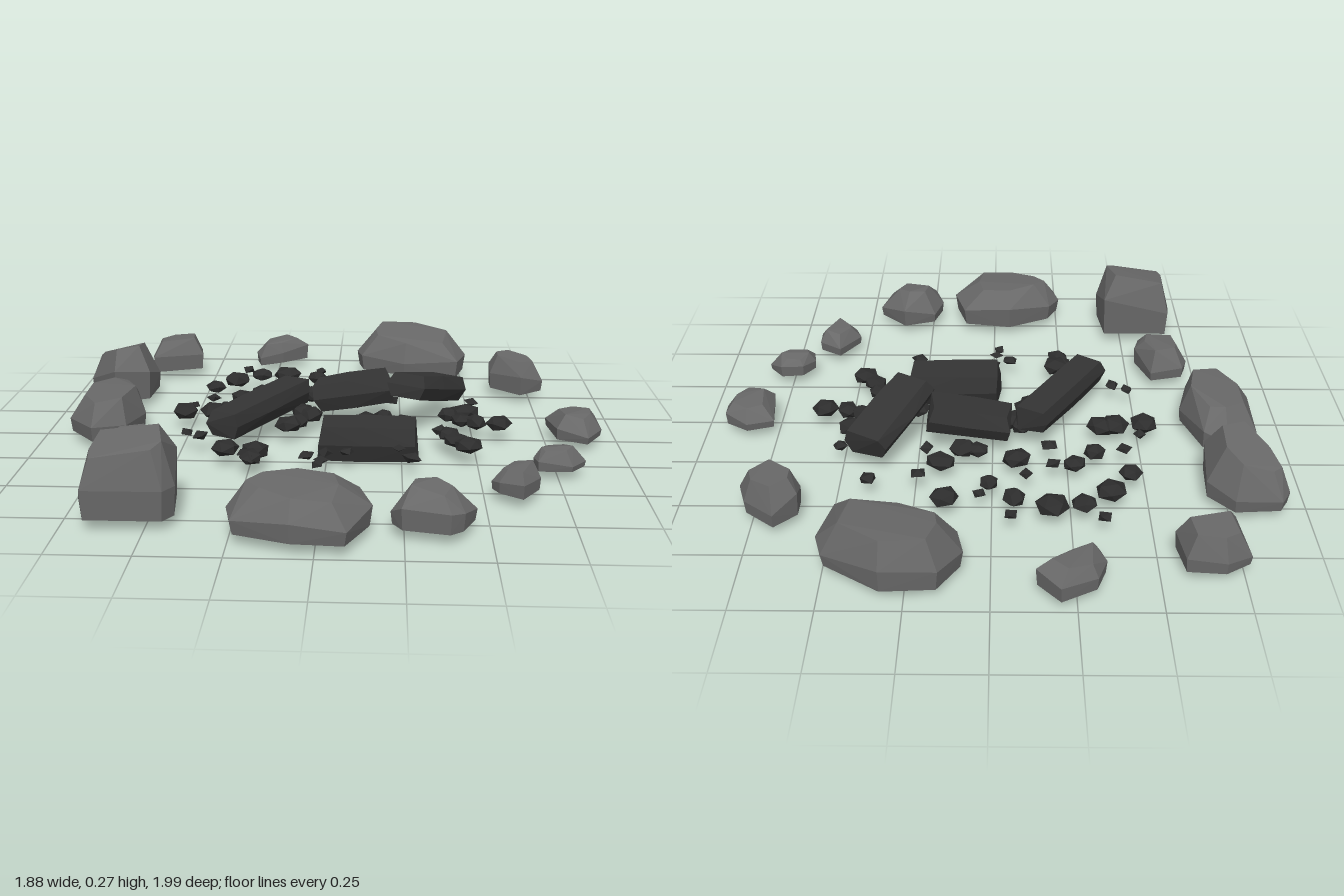
import * as THREE from 'three';
import { ConvexGeometry } from 'three/addons/geometries/ConvexGeometry.js';

const BASE = 0.035; // level of the stone undersides

export function createModel() {
  const group = new THREE.Group();
  const mat = (name, color) => new THREE.MeshStandardMaterial({ name, color, flatShading: true });
  const stoneMat = mat('stone grey', 0x686868);
  const logMat = mat('charred wood', 0x343434);
  const coalMat = mat('coal', 0x2d2d2d);

  let seed = 7;
  const rand = () => (seed = (seed * 16807) % 2147483647) / 2147483647;
  const jitter = (a) => (rand() - 0.5) * 2 * a;

  const add = (geometry, material, name) => {
    const mesh = new THREE.Mesh(geometry, material);
    mesh.name = name;
    group.add(mesh);
    return mesh;
  };

  // Faceted stone: footprint outline [x, z, ...], flat base and sloping top
  function stone(top, slopeX, slopeZ, topScale, outline) {
    const n = outline.length / 2;
    let cx = 0, cz = 0;
    for (let i = 0; i < n; i++) {
      cx += outline[2 * i] / n;
      cz += outline[2 * i + 1] / n;
    }
    const pts = [];
    const put = (i, s, y) => {
      const dx = (outline[2 * i] - cx) * s, dz = (outline[2 * i + 1] - cz) * s;
      pts.push(new THREE.Vector3(cx + dx, y(dx, dz), cz + dz));
    };
    const roof = (dx, dz) => top + slopeX * dx + slopeZ * dz;
    for (let i = 0; i < n; i++) {
      const waist = 0.42 + jitter(0.18), drop = rand() * 0.012;
      put(i, 0.96, () => BASE);
      put(i, 1, (dx, dz) => BASE + (roof(dx, dz) - BASE) * waist);
      put(i, topScale + jitter(0.1), (dx, dz) => roof(dx, dz) - drop);
    }
    add(new ConvexGeometry(pts), stoneMat, 'ringStone');
  }

  // Ring of stones, clockwise from the back
  stone(0.16, 0.1, 0, 0.65, [-0.77, -0.82, -0.69, -0.87, -0.57, -0.86, -0.55, -0.74, -0.74, -0.67]);
  stone(0.125, 0.1, 0, 0.6, [-0.34, -0.86, -0.31, -0.94, -0.2, -1, -0.13, -0.92, -0.23, -0.84, -0.32, -0.79]);
  stone(0.185, 0, -0.14, 0.7, [0.08, -0.84, 0.15, -0.95, 0.32, -0.96, 0.5, -0.84, 0.52, -0.78, 0.48, -0.63, 0.27, -0.67, 0.1, -0.75]);
  stone(0.165, -0.1, 0, 0.65, [0.67, -0.66, 0.77, -0.58, 0.8, -0.49, 0.71, -0.42, 0.6, -0.52, 0.6, -0.59]);
  stone(0.115, 0, 0.05, 0.6, [0.76, -0.08, 0.85, -0.11, 0.93, -0.06, 0.94, 0.03, 0.88, 0.13, 0.78, 0.08]);
  stone(0.105, 0.05, 0, 0.6, [0.67, 0.34, 0.71, 0.28, 0.79, 0.27, 0.84, 0.33, 0.79, 0.39, 0.68, 0.39]);
  stone(0.115, 0, 0, 0.6, [0.52, 0.54, 0.59, 0.43, 0.67, 0.48, 0.67, 0.54, 0.61, 0.63, 0.54, 0.58]);
  stone(0.155, 0, -0.1, 0.5, [0.21, 0.82, 0.24, 0.72, 0.36, 0.68, 0.46, 0.78, 0.42, 0.87, 0.38, 0.9, 0.24, 0.87]);
  stone(0.17, -0.04, -0.05, 0.62, [-0.26, 0.83, -0.22, 0.75, -0.06, 0.67, 0.12, 0.7, 0.16, 0.84, 0.09, 0.99, -0.07, 0.98, -0.24, 0.92]);
  stone(0.25, 0.16, -0.18, 0.72, [-0.68, 0.62, -0.43, 0.62, -0.41, 0.79, -0.44, 0.84, -0.68, 0.84, -0.7, 0.77]);
  stone(0.145, 0, -0.1, 0.6, [-0.72, 0.34, -0.7, 0.28, -0.58, 0.25, -0.53, 0.39, -0.55, 0.46, -0.69, 0.47]);
  stone(0.17, 0.1, 0, 0.7, [-0.9, -0.15, -0.79, -0.23, -0.71, -0.2, -0.65, -0.02, -0.69, 0.13, -0.8, 0.18, -0.9, 0.06]);
  stone(0.2, 0.25, 0.2, 0.65, [-0.94, -0.51, -0.91, -0.56, -0.76, -0.57, -0.68, -0.48, -0.69, -0.32, -0.81, -0.26, -0.93, -0.41]);

  // Rough flat-topped log between two points
  const section = [[0.5, 0], [0.4, 0.5], [-0.4, 0.5], [-0.5, 0], [-0.35, -0.5], [0.35, -0.5]];
  function log(from, to, width, height) {
    const a = new THREE.Vector3(...from), b = new THREE.Vector3(...to);
    const length = a.distanceTo(b), pts = [];
    for (const t of [0, 0.45, 1]) {
      for (const [x, y] of section) {
        const r = (t === 0.45 ? 1.05 : 1) + jitter(0.06);
        const along = t * length + (t === 0.45 ? 0 : jitter(0.012));
        pts.push(new THREE.Vector3(x * r * width, y * r * height, along));
      }
    }
    const mesh = add(new ConvexGeometry(pts), logMat, 'charredLog');
    mesh.position.copy(a);
    mesh.lookAt(b);
  }

  log([-0.35, 0.115, 0.21], [-0.13, 0.125, -0.17], 0.12, 0.085);
  log([-0.02, 0.065, 0.18], [0.3, 0.065, 0.18], 0.155, 0.115);
  log([-0.05, 0.11, -0.16], [0.21, 0.15, -0.16], 0.13, 0.1);
  log([0.27, 0.185, -0.04], [0.42, 0.105, -0.3], 0.15, 0.085);

  // Scattered coals as [x, z, ...]
  function coals(spots, size, flatness, detailed) {
    for (let i = 0; i < spots.length; i += 2) {
      const geo = detailed ? new THREE.IcosahedronGeometry(1, 0) : new THREE.OctahedronGeometry(1, 0);
      geo.rotateX(rand() * 3).rotateZ(rand() * 3);
      const s = size * (1 + jitter(0.15));
      geo.scale(s * (1 + jitter(0.15)), s * flatness, s * (1 + jitter(0.15)));
      const mesh = add(geo, coalMat, 'coal');
      mesh.position.set(spots[i], 0.065, spots[i + 1]);
      mesh.rotation.y = rand() * 6;
    }
  }

  coals([
    -0.29, -0.56, -0.19, -0.57, -0.07, -0.53, 0.01, -0.45, 0.15, -0.53, -0.38, -0.49, -0.45, -0.39,
    -0.34, -0.27, -0.27, -0.34, -0.08, -0.31, 0.17, -0.33, 0.05, -0.26, 0.1, -0.25, -0.52, -0.09,
    -0.42, -0.1, -0.37, -0.11, -0.1, -0.1, -0.07, -0.07, -0.11, 0.01, 0.03, 0.02, 0.13, -0.03,
    0.18, 0.02, 0.19, -0.06, 0.26, 0, 0.42, -0.09, 0.46, -0.03, 0.51, -0.01, 0.59, 0,
    0.48, -0.12, 0.41, 0.12, 0.43, 0.18, 0.47, 0.23, -0.33, 0.29, -0.23, 0.31, -0.24, 0.37, -0.14, 0.04,
  ], 0.044, 0.62, true);
  coals([
    -0.35, -0.63, -0.06, -0.62, 0.04, -0.51, 0.24, -0.4, 0.4, -0.43, -0.11, -0.4, -0.2, -0.34,
    -0.44, -0.25, -0.5, -0.16, -0.19, -0.23, 0.51, -0.24, -0.43, 0.17, -0.48, 0.14, -0.06, 0.35,
    0.07, 0.31, -0.01, 0.39, -0.02, 0.43, 0.28, 0.36, 0.38, 0.08, 0.24, 0.27, 0, 0.32, 0.22, -0.25,
    -0.26, 0.34, -0.24, 0.39,
  ], 0.03, 0.55, false);

  return group;
}
